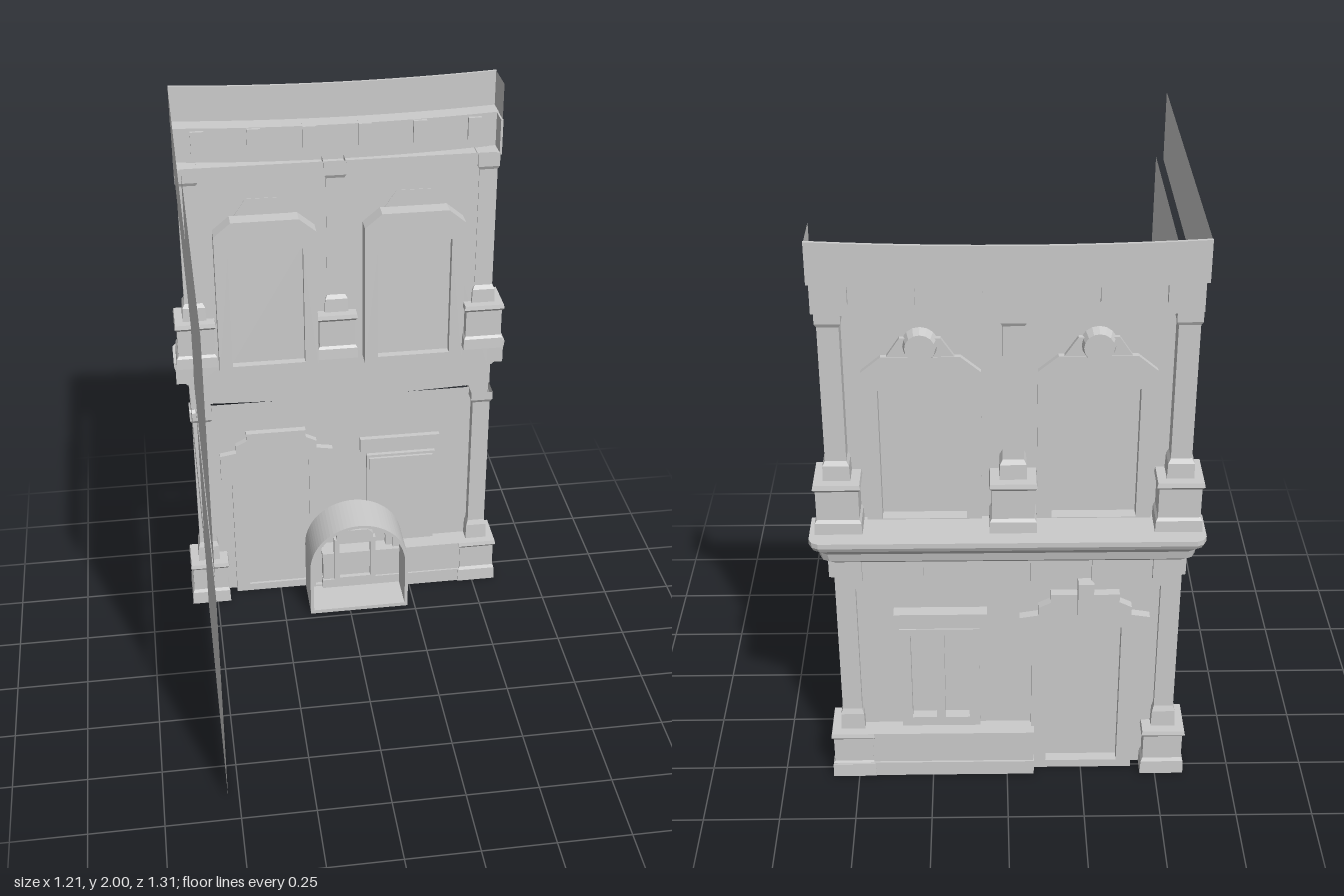
import * as THREE from 'three';

const mat = new THREE.MeshStandardMaterial({ color: 0xcccccc, flatShading: true, side: THREE.DoubleSide });
const smoothMat = new THREE.MeshStandardMaterial({ color: 0xcccccc, side: THREE.DoubleSide });

export function createModel() {
  const root = new THREE.Group();
  root.name = 'townhouseFacade';

  const add = (name, geo, m = mat) => {
    const mesh = new THREE.Mesh(geo, m);
    mesh.name = name;
    root.add(mesh);
    return mesh;
  };
  // Box given by its extents
  const box = (name, x0, x1, y0, y1, z0, z1, seg = 1) => {
    const g = new THREE.BoxGeometry(x1 - x0, y1 - y0, Math.abs(z1 - z0), seg, 1, 1);
    g.translate((x0 + x1) / 2, (y0 + y1) / 2, (z0 + z1) / 2);
    return add(name, g);
  };
  const poly = (pts, Type = THREE.Shape) => new Type(pts.map(p => new THREE.Vector2(...p)));
  const rect = (x0, x1, y0, y1) => [[x0, y0], [x1, y0], [x1, y1], [x0, y1]];
  // Flat outline with holes, extruded from z0 (outer face) to z1 (inner face)
  const plate = (name, pts, holes, z0, z1) => {
    const s = poly(pts);
    holes.forEach(h => s.holes.push(poly(h, THREE.Path)));
    const g = z0 === z1 ? new THREE.ShapeGeometry(s)
      : new THREE.ExtrudeGeometry(s, { depth: z1 - z0, bevelEnabled: false });
    g.translate(0, 0, z0);
    return add(name, g);
  };
  // Gentle sag of the long horizontal courses between their ends
  const sag = (mesh, amount, onlyBelow = Infinity) => {
    const p = mesh.geometry.attributes.position;
    for (let i = 0; i < p.count; i++) {
      const x = p.getX(i), y = p.getY(i);
      if (y < onlyBelow) p.setY(i, y - amount * (1 - (x / 0.56) ** 2));
    }
    mesh.geometry.computeVertexNormals();
  };

  // Openings
  const doorX = -0.25, lowWin = [0.1, 0.34, 0.2, 0.57], upX = [-0.267, 0.255];
  const doorHole = rect(doorX - 0.12, doorX + 0.12, 0.03, 0.59);
  const upHole = c => rect(c - 0.13, c + 0.13, 1.02, 1.47);

  // Street walls
  plate('lowerWall', rect(-0.54, 0.545, 0, 0.84), [doorHole, rect(...lowWin)], -0.48, -0.48);
  plate('upperWall', rect(-0.54, 0.545, 0.915, 1.76), upX.map(upHole), -0.497, -0.497);

  // Side wall panels and bands
  const side = (name, x, y0, y1, z0, z1) => {
    const g = new THREE.PlaneGeometry(z1 - z0, y1 - y0);
    g.rotateY(-Math.PI / 2);
    g.translate(x, (y0 + y1) / 2, (z0 + z1) / 2);
    add(name, g);
  };
  side('lowerSideWall', -0.537, 0, 0.84, -0.48, 0.655);
  side('middleSideBand', -0.556, 0.84, 0.915, -0.57, 0.632);
  side('upperSideWall', -0.537, 0.915, 1.755, -0.497, 0.655);
  side('topSideBand', -0.56, 1.755, 1.995, -0.575, 0.63);

  // Square pilasters turned from a half-width profile
  const pilaster = (name, x, z, profile) => {
    const pts = profile.map(([y, r]) => new THREE.Vector2(r * Math.SQRT2, y));
    const g = new THREE.LatheGeometry(pts, 4);
    g.rotateY(Math.PI / 4);
    g.translate(x, 0, z);
    add(name, g);
  };
  const lowerProfile = [[0, 0], [0, 0.073], [0.05, 0.071], [0.062, 0.065], [0.155, 0.065], [0.165, 0.073],
    [0.18, 0.07], [0.18, 0.04], [0.24, 0.038], [0.26, 0.032], [0.795, 0.032], [0.808, 0.04], [0.84, 0.04]];
  const upperProfile = [[1.015, 0], [1.015, 0.073], [1.055, 0.071], [1.065, 0.065], [1.165, 0.065], [1.175, 0.073],
    [1.19, 0.07], [1.19, 0.042], [1.24, 0.04], [1.255, 0.032], [1.7, 0.032], [1.712, 0.038], [1.755, 0.038]];
  for (const x of [-0.522, 0.515]) pilaster('lowerPilaster', x, -0.473, lowerProfile);
  for (const x of [-0.522, -0.017, 0.515]) pilaster('upperPilaster', x, -0.525, upperProfile);

  // Plinth under the ground floor window
  box('plinthFoot', -0.09, 0.585, 0, 0.055, -0.543, -0.405);
  box('plinth', -0.087, 0.578, 0.055, 0.165, -0.536, -0.412);
  box('plinthCap', -0.09, 0.585, 0.163, 0.18, -0.543, -0.405);

  // Door with an eared, stepped surround and keystone
  const half = [[0.17, 0], [0.17, 0.5], [0.21, 0.52], [0.21, 0.63], [0.15, 0.64], [0.15, 0.67], [0.11, 0.69], [0.11, 0.72]];
  const outline = [...half.map(([x, y]) => [doorX + x, y]), ...half.slice().reverse().map(([x, y]) => [doorX - x, y])];
  plate('doorSurround', outline, [doorHole], -0.51, -0.455);
  box('door', doorX - 0.125, doorX + 0.125, 0, 0.6, -0.475, -0.465);
  box('doorKeystone', doorX - 0.025, doorX + 0.025, 0.66, 0.78, -0.54, -0.48);
  box('doorKeystoneTip', doorX - 0.015, doorX + 0.015, 0.64, 0.66, -0.53, -0.48);

  // Ground floor window
  box('lowerWindowPane', 0.1, 0.34, 0.2, 0.57, -0.465, -0.455);
  plate('lowerWindowFrame', rect(0.09, 0.35, 0.18, 0.58),
    [rect(0.125, 0.205, 0.215, 0.555), rect(0.235, 0.315, 0.215, 0.555)], -0.5, -0.465);
  box('lowerWindowLintel', 0.065, 0.365, 0.6, 0.655, -0.522, -0.46);

  // Upper windows with chamfered heads and a round boss
  for (const c of upX) {
    const w = 0.177, k = 0.117;
    plate('upperWindowSurround',
      [[c - w, 1.0], [c + w, 1.0], [c + w, 1.53], [c + k, 1.58], [c - k, 1.58], [c - w, 1.53]],
      [upHole(c)], -0.515, -0.437);
    box('upperWindowPane', c - 0.13, c + 0.13, 1.02, 1.47, -0.475, -0.465);
    plate('upperWindowCrest',
      [[c - 0.1, 1.58], [c + 0.1, 1.58], [c + 0.06, 1.64], [c - 0.06, 1.64]], [], -0.512, -0.495);
    const boss = new THREE.CylinderGeometry(0.045, 0.055, 0.035, 16);
    boss.rotateX(-Math.PI / 2);
    boss.translate(c, 1.615, -0.515);
    add('windowBoss', boss);
  }

  // Friezes and their brackets
  sag(box('lowerFrieze', -0.556, 0.556, 0.84, 0.92, -0.57, -0.5, 12), 0.015, 0.9);
  sag(box('upperFrieze', -0.56, 0.56, 1.755, 1.875, -0.575, -0.565, 12), 0.018);
  sag(box('upperFriezeShelf', -0.56, 0.56, 1.75, 1.757, -0.575, -0.497, 12), 0.018);
  box('upperFriezeEnd', 0.552, 0.56, 1.755, 1.875, -0.575, -0.497);
  const bracket = (x, top, h, z) => {
    const w = 0.023;
    plate('bracket', [[x - w, top], [x - w, top - h + 0.025], [x, top - h], [x + w, top - h + 0.025], [x + w, top]],
      [], z - 0.022, z + 0.02);
  };
  for (let i = 0; i < 6; i++) {
    const x = -0.475 + i * 0.19;
    bracket(x, 0.925, 0.12, -0.565);
    bracket(x, 1.865, 0.105, -0.573);
  }

  // Ledge between the floors: stacked outlines with rounded street corners
  const ledge = [[0.92, 0.56, -0.605], [0.935, 0.575, -0.622], [0.965, 0.58, -0.628], [0.985, 0.6, -0.645],
    [1.0, 0.605, -0.652], [1.017, 0.605, -0.652]];
  const ring = (y, hx, z) => [[hx, -0.5], [hx, z + 0.03], [hx - 0.01, z + 0.01], [hx - 0.03, z],
    [-hx + 0.03, z], [-hx + 0.01, z + 0.01], [-hx, z + 0.03], [-hx, -0.5]].map(([x, zz]) => [x, y, zz]);
  const pos = [], idx = [], n = 8;
  ledge.forEach(l => ring(...l).forEach(p => pos.push(...p)));
  for (let r = 0; r < ledge.length - 1; r++) for (let i = 0; i < n; i++) {
    const a = r * n + i, b = r * n + (i + 1) % n;
    idx.push(a, b, a + n, b, b + n, a + n);
  }
  const top = (ledge.length - 1) * n;
  for (let i = 1; i < n - 1; i++) idx.push(0, i + 1, i, top, top + i, top + i + 1);
  const ledgeGeo = new THREE.BufferGeometry();
  ledgeGeo.setAttribute('position', new THREE.Float32BufferAttribute(pos, 3));
  ledgeGeo.setIndex(idx);
  ledgeGeo.computeVertexNormals();
  add('ledge', ledgeGeo);
  for (const s of [-1, 1]) // returns of the ledge at both ends
    box('ledgeReturn', s * 0.57 - 0.03, s * 0.57 + 0.03, 0.93, 1.015, -0.52, -0.497);

  // Top cornice: fascia, soffit and end return
  sag(box('corniceFascia', -0.56, 0.56, 1.875, 2.0, -0.642, -0.632, 12), 0.015);
  sag(box('corniceSoffit', -0.56, 0.56, 1.872, 1.878, -0.642, -0.565, 12), 0.015);
  side('corniceSideReturn', -0.56, 1.875, 1.995, -0.642, -0.575);
  side('corniceEndReturn', 0.558, 1.875, 2.0, -0.642, -0.5);

  // Arched vault behind the wall
  const arch = (r, foot, Type = THREE.Shape) => {
    const s = new Type();
    s.moveTo(0.035 - r, foot);
    s.lineTo(0.035 + r, foot);
    s.lineTo(0.035 + r, 0.21);
    s.absarc(0.035, 0.21, r, 0, Math.PI, false);
    s.closePath();
    return s;
  };
  const archRing = (name, r, inner, foot, z0, z1) => {
    const s = arch(r, foot);
    s.holes.push(arch(inner, foot + 0.015, THREE.Path));
    const g = new THREE.ExtrudeGeometry(s, { depth: z1 - z0, bevelEnabled: false, curveSegments: 20 });
    g.translate(0, 0, z0);
    add(name, g, smoothMat);
  };
  archRing('vault', 0.187, 0.175, 0.003, -0.445, -0.272);
  archRing('vaultInnerArch', 0.178, 0.15, 0.01, -0.445, -0.42);
  archRing('vaultInnerRib', 0.15, 0.125, 0.01, -0.46, -0.435);
  // Small panelled niche within the vault
  plate('nicheFrame', rect(-0.045, 0.115, 0.05, 0.25), [rect(-0.025, 0.095, 0.07, 0.23)], -0.42, -0.395);
  plate('nicheHead', [[-0.035, 0.25], [0.105, 0.25], [0.105, 0.27], [0.085, 0.29], [-0.015, 0.29], [-0.035, 0.27]],
    [], -0.47, -0.395);
  return root;
}
